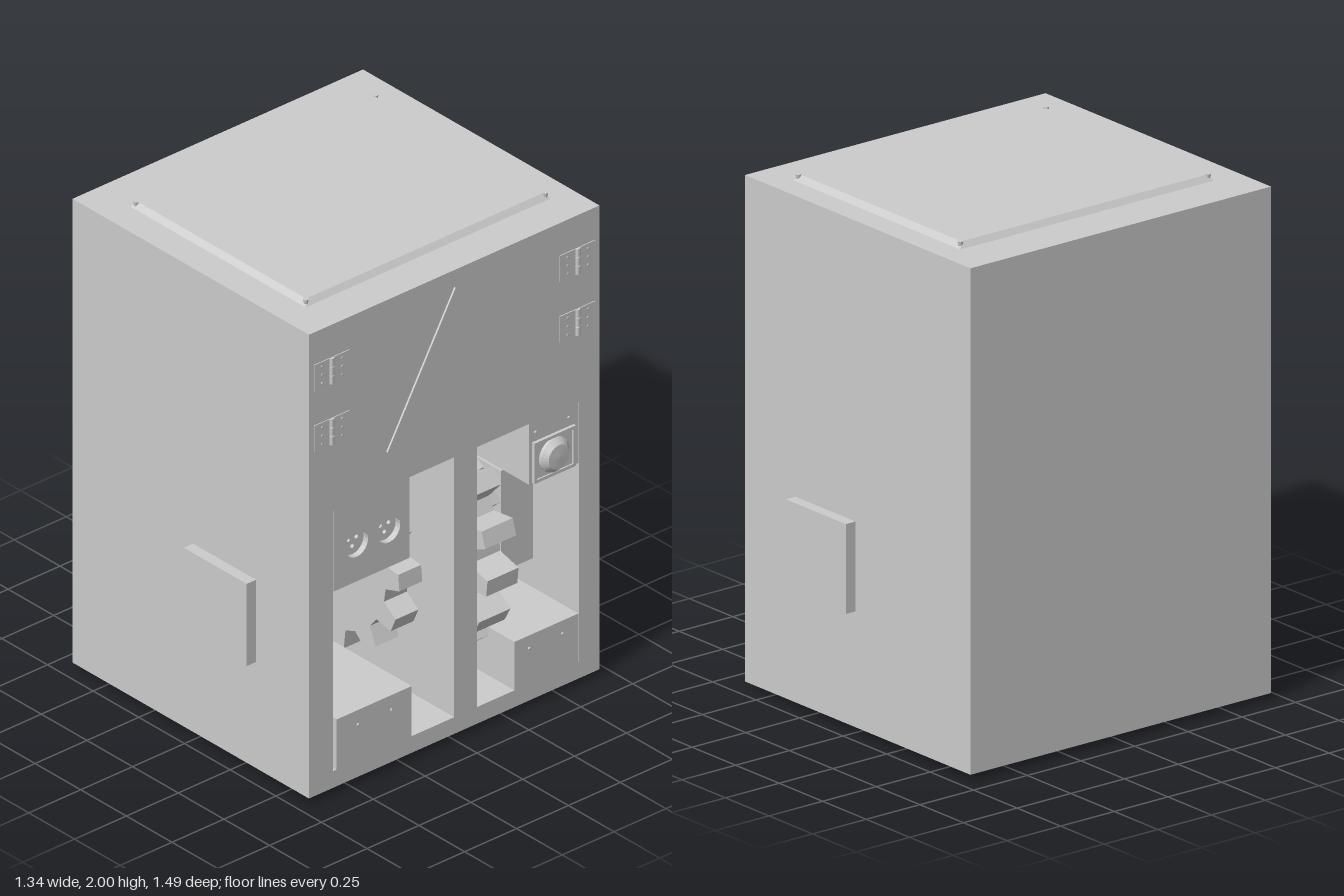
import * as THREE from 'three';

const grey = new THREE.MeshStandardMaterial({ color: 0xcccccc, flatShading: true });
const smooth = new THREE.MeshStandardMaterial({ color: 0xcccccc });
const FACE = 0.625; // x of the machine face

export function createModel() {
  const model = new THREE.Group();

  function add(name, geometry, material = grey) {
    const mesh = new THREE.Mesh(geometry, material);
    mesh.name = name;
    model.add(mesh);
    return mesh;
  }
  function box(name, x0, x1, y0, y1, z0, z1) {
    const g = new THREE.BoxGeometry(x1 - x0, y1 - y0, z1 - z0);
    return add(name, g.translate((x0 + x1) / 2, (y0 + y1) / 2, (z0 + z1) / 2));
  }
  const loop = (pts) => pts.map(([z, y]) => new THREE.Vector2(-z, y));
  const rect = (z0, z1, y0, y1) => loop([[z0, y0], [z0, y1], [z1, y1], [z1, y0]]);
  const circle = (z, y, r, n = 20) => Array.from({ length: n }, (_, i) => {
    const a = (i / n) * Math.PI * 2;
    return new THREE.Vector2(-z + r * Math.cos(a), y + r * Math.sin(a));
  });
  // Outline in the z/y plane, extruded along x
  function slab(name, outline, x0, x1, holes = []) {
    const s = new THREE.Shape(outline);
    s.holes = holes.map((h) => new THREE.Path(h));
    const g = new THREE.ExtrudeGeometry(s, { depth: x1 - x0, bevelEnabled: false });
    return add(name, g.rotateY(Math.PI / 2).translate(x0, 0, 0));
  }
  function rod(name, r, x, y, z0, z1) {
    const g = new THREE.CylinderGeometry(r, r, z1 - z0, 32).rotateX(Math.PI / 2);
    return add(name, g.translate(x, y, (z0 + z1) / 2), smooth);
  }
  // Round part turned about the x direction; profile is [radius, x]
  function turned(name, profile, y, z, n = 28) {
    const g = new THREE.LatheGeometry(profile.map(([r, h]) => new THREE.Vector2(r, h)), n);
    return add(name, g.rotateZ(-Math.PI / 2).translate(0, y, z));
  }

  // Cabinet with two deep openings
  slab('cabinet', rect(-0.7, 0.7, 0.03, 1.975), -0.55, FACE,
    [rect(0, 0.585, 0.1, 1.19), rect(-0.6, -0.11, 0.1, 1.19)]);
  box('backWall', -0.67, -0.55, 0.03, 1.975, -0.7, 0.7);

  // Chamfered lid with corner screws
  const lid = new THREE.BoxGeometry(0.96, 0.025, 1.18);
  const p = lid.attributes.position;
  for (let i = 0; i < p.count; i++) {
    if (p.getY(i) > 0) p.setXYZ(i, p.getX(i) * 0.962, p.getY(i) - 0.003, p.getZ(i) * 0.968);
  }
  add('lid', lid.translate(-0.01, 1.9875, -0.01));
  for (const x of [-0.473, 0.457]) for (const z of [-0.587, 0.567]) {
    add('lidScrew', new THREE.CylinderGeometry(0.011, 0.006, 0.025, 12).translate(x, 1.9875, z));
  }

  // Bearing housings inside and outside the side walls
  box('frontHousing', -0.01, 0.335, 0.475, 0.82, 0.69, 0.745);
  box('backHousing', -0.01, 0.335, 0.475, 0.82, -0.745, -0.69);
  box('frontBearing', -0.01, 0.335, 0.475, 0.82, 0.35, 0.59);
  box('backBearing', -0.05, 0.375, 0.425, 0.85, -0.61, -0.445);

  // Gears, their shaft and the upper idler
  function gear(name, x, y, r, teeth, z0, z1, phase) {
    const pts = [], step = (Math.PI * 2) / teeth, root = r * 0.8;
    for (let i = 0; i < teeth; i++) {
      for (const [f, rad] of [[-0.32, root], [-0.17, r], [0.17, r], [0.32, root]]) {
        const a = phase + (i + f) * step;
        pts.push(new THREE.Vector2(rad * Math.cos(a), rad * Math.sin(a)));
      }
    }
    const g = new THREE.ExtrudeGeometry(new THREE.Shape(pts), { depth: z1 - z0, bevelEnabled: false });
    add(name, g.translate(x, y, z0));
  }
  rod('mainShaft', 0.075, 0.16, 0.65, -0.45, 0.36);
  gear('frontGear', 0.16, 0.655, 0.375, 12, 0.075, 0.185, 0.1);
  gear('largeGear', 0.16, 0.655, 0.505, 16, -0.275, -0.125, -0.1);
  gear('smallGear', 0.16, 0.63, 0.27, 12, -0.415, -0.335, 0);
  gear('idlerGear', -0.22, 0.99, 0.195, 8, 0.085, 0.165, 0.2);
  rod('idlerShaft', 0.035, -0.22, 0.99, -0.02, 0.23);

  // Socket box with two recessed three-hole sockets
  const sockets = [0.47, 0.315];
  slab('socketPlate', rect(0.215, 0.583, 0.852, 1.19), 0.6, FACE, sockets.map((z) => circle(z, 1.01, 0.055)));
  box('socketBox', -0.55, 0.58, 0.852, 1.19, 0.215, 0.583);
  for (const z of sockets) {
    const pins = [[0.02, 0.012], [-0.02, 0.012], [0, -0.02]].map(([a, b]) => circle(z + a, 1.01 + b, 0.009, 10));
    slab('socketFace', circle(z, 1.01, 0.055), 0.58, 0.6, pins);
  }

  // Button box: stepped frame and domed push button
  box('buttonBox', -0.2, FACE, 0.935, 1.19, -0.598, -0.36);
  slab('buttonFrame', rect(-0.575, -0.375, 0.937, 1.107), FACE, 0.638, [rect(-0.562, -0.388, 0.95, 1.094)]);
  box('buttonBase', 0.62, 0.632, 0.95, 1.094, -0.562, -0.388);
  turned('button', [[0, 0.63], [0.07, 0.63], [0.07, 0.643], [0.05, 0.663], [0, 0.666]], 1.025, -0.472);

  // Lower boxes and their screws
  box('frontLowerBox', -0.2, FACE, 0.1, 0.31, 0.205, 0.567);
  box('backLowerBox', -0.2, FACE, 0.1, 0.303, -0.598, -0.29);
  for (const [z, y] of [[0.465, 0.25], [0.305, 0.25], [-0.36, 0.25], [-0.52, 0.25], [-0.39, 1.145], [-0.55, 1.145]]) {
    turned('boxScrew', [[0, 0.62], [0.006, 0.62], [0.006, 0.63], [0, 0.632]], y, z, 8);
  }

  // Loose wire bundles
  let seed = 7;
  const rnd = () => (seed = (seed * 16807) % 2147483647) / 2147483647;
  function wires(name, count, x0, x1, top, bottom, z0, z1) {
    for (let i = 0; i < count; i++) {
      const pts = [];
      let z = z0 + rnd() * (z1 - z0), x = x0 + rnd() * (x1 - x0);
      for (let k = 0; k <= 5; k++) {
        pts.push(new THREE.Vector3(x, top + (bottom - top) * k / 5, z));
        z = THREE.MathUtils.clamp(z + (rnd() - 0.5) * 0.1, z0, z1);
        x = THREE.MathUtils.clamp(x + (rnd() - 0.5) * 0.08, x0, x1);
      }
      add(name, new THREE.TubeGeometry(new THREE.CatmullRomCurve3(pts), 20, 0.006, 5), smooth);
    }
  }
  wires('frontWires', 30, -0.2, -0.04, 0.86, 0.3, 0.22, 0.56);
  wires('backWires', 26, -0.19, -0.07, 0.95, 0.29, -0.58, -0.32);
  wires('floorWires', 8, -0.19, 0.1, 0.34, 0.1, 0.08, 0.2);
  for (const [x, z] of [[-0.06, 0.38], [0.06, 0.31], [0.17, 0.2], [0.17, -0.46]]) {
    add('wireEnd', new THREE.CylinderGeometry(0.007, 0.007, 0.04, 6).rotateZ(0.9).translate(x, 0.022, z));
  }

  // Warning triangle
  slab('trianglePlate', loop([[0.328, 1.34], [-0.328, 1.34], [0, 1.905]]), 0.62, 0.633);

  // Four hinges: two leaves, a barrel and screws
  for (const side of [1, -1]) for (const y of [1.785, 1.53]) {
    const mid = side * 0.592;
    for (const [a, b] of [[-0.085, -0.012], [0.012, 0.085]]) {
      box('hingeLeaf', 0.62, 0.629, y - 0.055, y + 0.055, mid + a, mid + b);
      for (const dy of [-0.035, 0, 0.035]) {
        turned('hingeScrew', [[0, 0.625], [0.006, 0.625], [0.006, 0.631], [0, 0.632]], y + dy, mid + (a + b) / 2, 8);
      }
    }
    for (let k = -1; k <= 1; k++) {
      add('hingeBarrel', new THREE.CylinderGeometry(0.011, 0.011, 0.034, 12).translate(0.626, y + k * 0.037, mid));
    }
  }

  return model;
}
